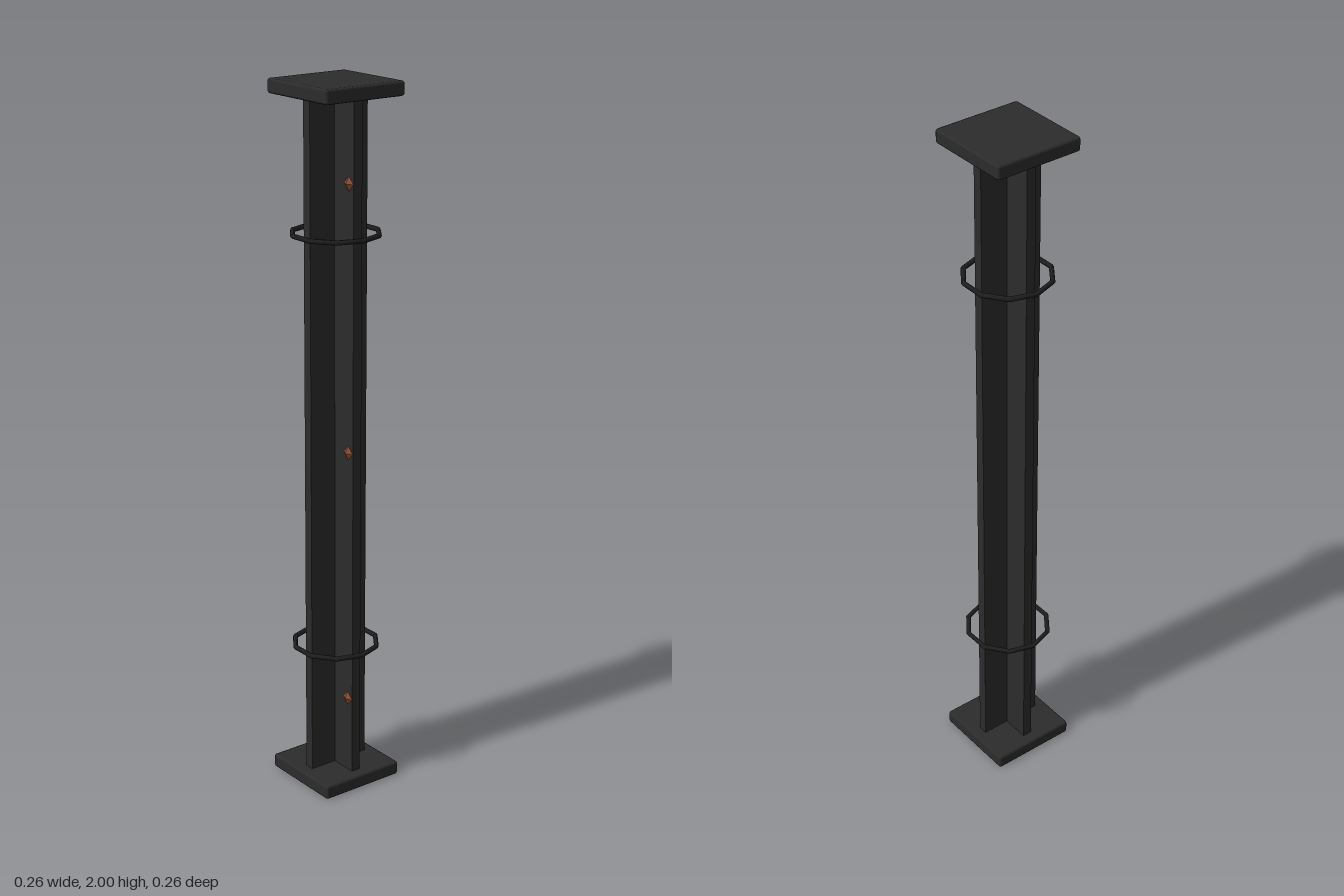
import * as THREE from 'three';
import { RoundedBoxGeometry } from 'three/addons/geometries/RoundedBoxGeometry.js';

const mat = (name, color) => {
  const m = new THREE.MeshStandardMaterial({ color });
  m.name = name;
  return m;
};

export function createModel() {
  const iron = mat('dark iron', 0x2c2c2c);
  const black = mat('blackened steel', 0x1e1e1e);
  const rust = mat('rust', 0x8b4a32);

  const group = new THREE.Group();
  group.name = 'pillar';
  const add = (name, geometry, material, x, y, z) => {
    const mesh = new THREE.Mesh(geometry, material);
    mesh.name = name;
    mesh.position.set(x, y, z);
    group.add(mesh);
    return mesh;
  };

  // Cross-shaped shaft, one closed outline extruded upwards
  const w = 0.095, t = 0.014;
  const cross = new THREE.Shape([
    [w, -t], [w, t], [t, t], [t, w], [-t, w], [-t, t],
    [-w, t], [-w, -t], [-t, -t], [-t, -w], [t, -w], [t, -t],
  ].map(([x, y]) => new THREE.Vector2(x, y)));
  const shaft = new THREE.ExtrudeGeometry(cross, { depth: 1.93, bevelEnabled: false });
  shaft.rotateX(-Math.PI / 2);
  add('shaft', shaft, iron, 0, 0.035, 0);

  // Chamfered square plates at both ends
  const plate = new RoundedBoxGeometry(0.257, 0.04, 0.257, 1, 0.007);
  add('basePlate', plate, iron, 0, 0.02, 0);
  add('topPlate', plate, iron, 0, 1.98, 0);

  // Ten-sided hoops around the shaft
  const hoop = new THREE.TorusGeometry(0.12, 0.007, 6, 10).rotateX(Math.PI / 2);
  for (const [name, y] of [['lowerHoop', 0.41], ['upperHoop', 1.595]]) add(name, hoop, black, 0, y, 0);

  // Faceted rivets on the front of the side flanges
  const rivet = new THREE.OctahedronGeometry(0.02).scale(1, 1, 0.5);
  for (const y of [0.265, 1.0, 1.74]) {
    for (const side of [-1, 1]) add('rivet', rivet, rust, side * 0.074, y, t);
  }
  return group;
}
